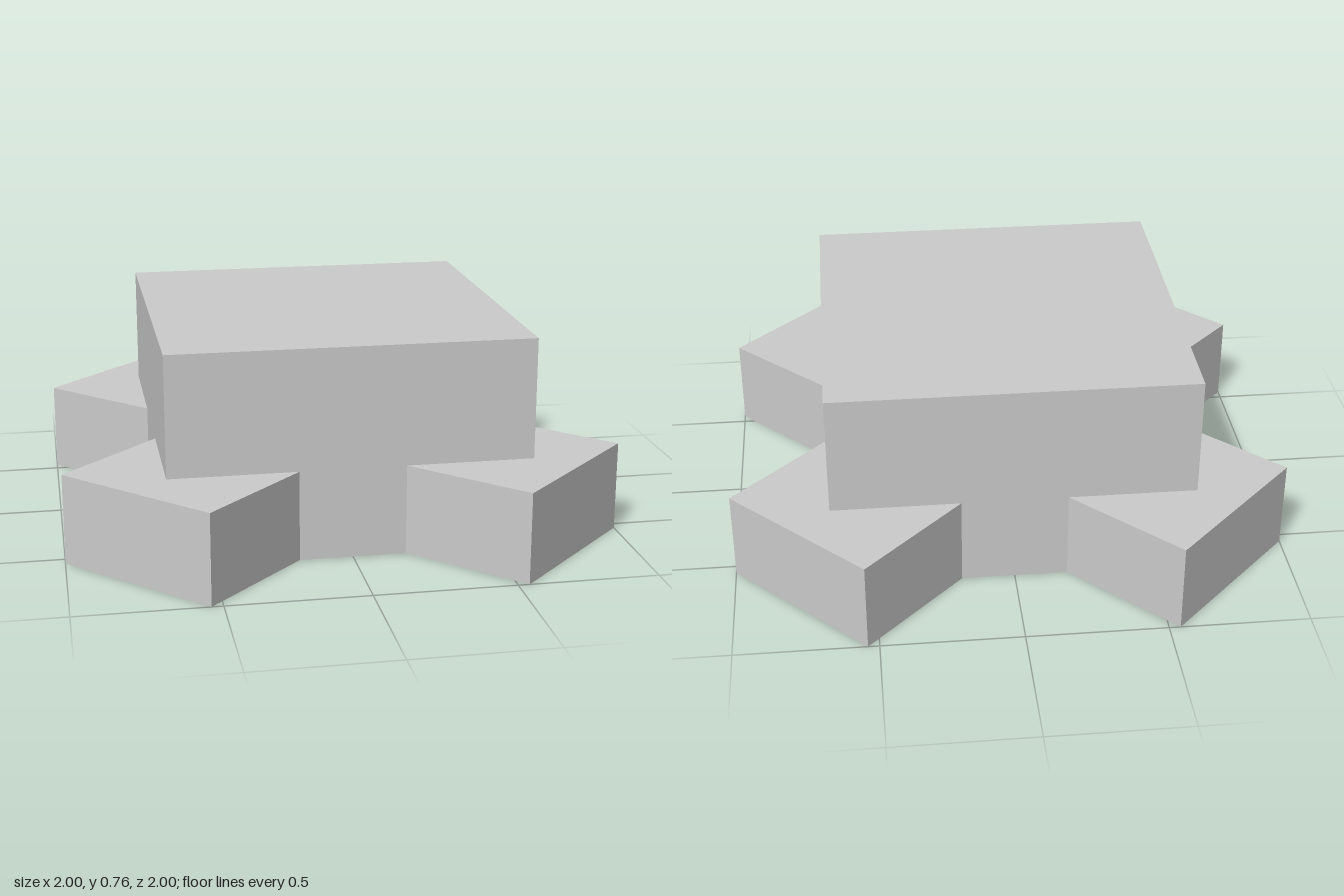
import * as THREE from 'three';

export function createModel() {
  const model = new THREE.Group();
  const material = new THREE.MeshStandardMaterial({ color: 0xcccccc, flatShading: true });
  const half = 0.65, bodyHeight = 0.765, footHeight = 0.327;

  // Square central block
  const body = new THREE.Mesh(new THREE.BoxGeometry(half * 2, bodyHeight, half * 2), material);
  body.name = 'body';
  body.position.y = bodyHeight / 2;
  model.add(body);

  // Diagonal foot, notched to fit around one corner of the block
  const inner = 0.19, tip = 0.54;
  const outline = new THREE.Shape([
    [half, inner], [1, tip], [tip, 1], [inner, half], [half, half],
  ].map(([x, y]) => new THREE.Vector2(x, y)));
  const footGeometry = new THREE.ExtrudeGeometry(outline, { depth: footHeight, bevelEnabled: false });
  footGeometry.rotateX(-Math.PI / 2);

  // One foot per corner
  ['backLeftFoot', 'backRightFoot', 'frontRightFoot', 'frontLeftFoot'].forEach((name, i) => {
    const foot = new THREE.Mesh(footGeometry, material);
    foot.name = name;
    foot.rotation.y = i * Math.PI / 2;
    model.add(foot);
  });

  return model;
}
